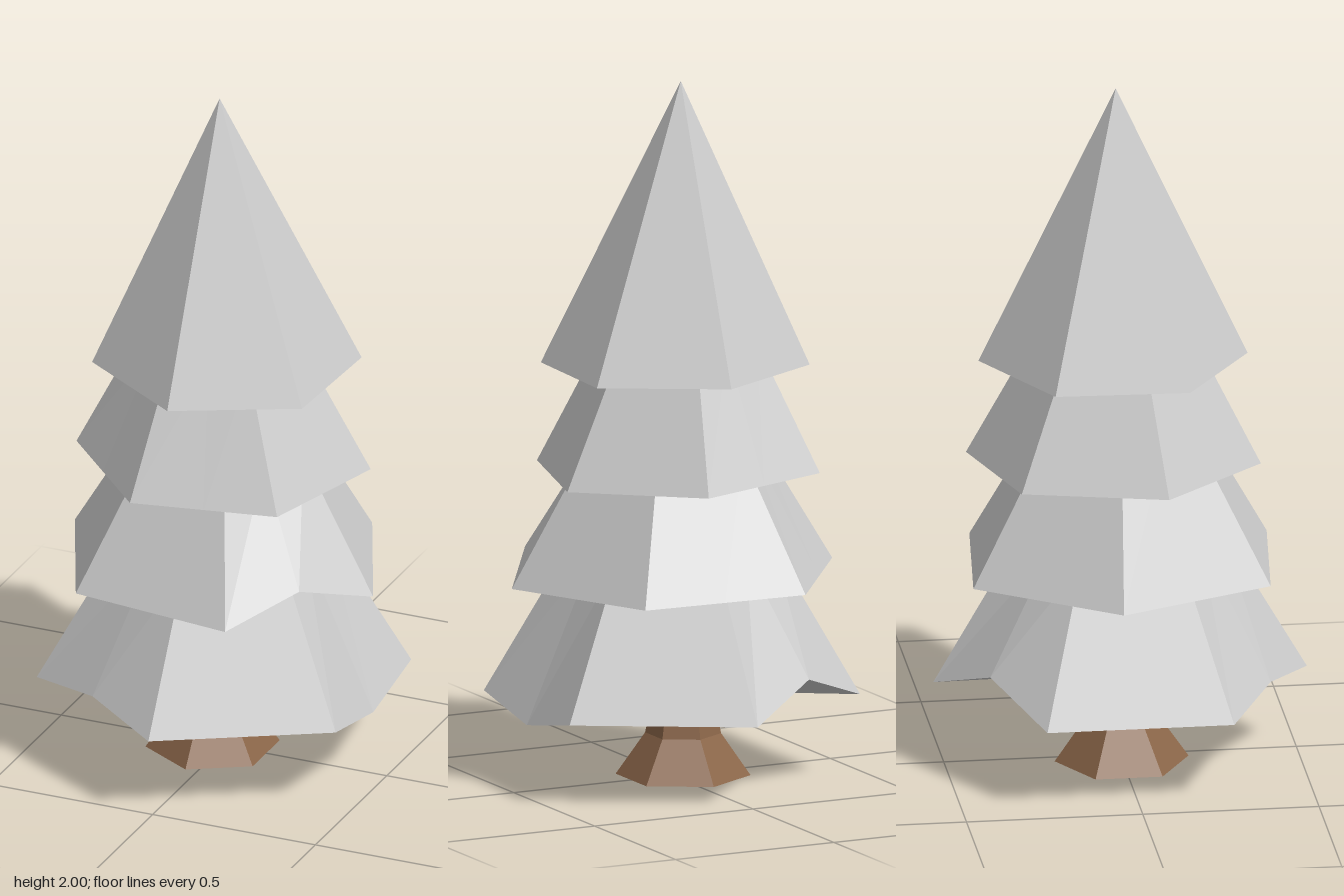
import * as THREE from 'three';

const SIDES = 6;

// Faceted hexagonal tier: lower ring of corners and edge midpoints, tapering to an upper ring or a point.
// angle: first corner in degrees (anticlockwise from +x seen from above); tilt: y change per unit x;
// bends: how far each lower edge's midpoint is raised or lowered.
function tierGeometry({ radius, angle, base, top, scale, center = [0, 0], tip = center, tilt = 0, bends = {} }) {
  const low = [], high = [];
  const corner = (i) => {
    const a = THREE.MathUtils.degToRad(angle + (i * 360) / SIDES);
    return new THREE.Vector3(radius * Math.cos(a), 0, -radius * Math.sin(a));
  };
  const place = (p, lift) => {
    low.push(new THREE.Vector3(p.x + center[0], base - tilt * p.x + lift, p.z + center[1]));
    high.push(new THREE.Vector3(p.x * scale + tip[0], top, p.z * scale + tip[1]));
  };
  for (let i = 0; i < SIDES; i++) {
    place(corner(i), 0);
    place(corner(i).lerp(corner(i + 1), 0.5), bends[i] ?? 0);
  }
  const under = new THREE.Vector3(center[0], base + 0.005, center[1]);
  const peak = new THREE.Vector3(tip[0], top, tip[1]);
  const points = [];
  for (let i = 0; i < low.length; i++) {
    const j = (i + 1) % low.length;
    points.push(under, low[j], low[i]);
    if (scale === 0) {
      points.push(low[i], low[j], peak);
    } else {
      points.push(low[i], low[j], high[j], low[i], high[j], high[i], peak, high[i], high[j]);
    }
  }
  const geometry = new THREE.BufferGeometry().setFromPoints(points);
  geometry.computeVertexNormals();
  return geometry;
}

export function createModel() {
  const tree = new THREE.Group();
  tree.name = 'pineTree';
  const foliage = new THREE.MeshStandardMaterial({ color: 0xcccccc, flatShading: true });
  const bark = new THREE.MeshStandardMaterial({ color: 0x8b6649, flatShading: true });

  // Foliage tiers, bottom to top
  const tiers = {
    bottomTier: { radius: 0.53, angle: -30, base: 0.24, top: 0.66, scale: 0.54, bends: { 0: -0.05, 2: 0.09, 4: 0.04 } },
    lowerMiddleTier: { radius: 0.483, angle: -66, base: 0.582, top: 0.96, scale: 0.53, tilt: 0.016, bends: { 0: 0.07 } },
    upperMiddleTier: { radius: 0.419, angle: 14.7, base: 0.892, top: 1.26, scale: 0.54, center: [-0.01, -0.02], tip: [-0.02, -0.015], tilt: 0.033 },
    topTier: { radius: 0.38, angle: 27.5, base: 1.19, top: 2, scale: 0, center: [0, -0.02], tip: [-0.02, -0.015], tilt: 0.014 },
  };
  for (const [name, spec] of Object.entries(tiers)) {
    const tier = new THREE.Mesh(tierGeometry(spec), foliage);
    tier.name = name;
    tree.add(tier);
  }

  // Flared trunk with corners facing front and back
  const profile = [[0, 0], [0.19, 0], [0.107, 0.12], [0.078, 0.26], [0.07, 0.4], [0, 0.4]];
  const trunk = new THREE.Mesh(
    new THREE.LatheGeometry(profile.map(([r, y]) => new THREE.Vector2(r, y)), SIDES),
    bark
  );
  trunk.name = 'trunk';
  trunk.position.x = -0.035;
  tree.add(trunk);

  return tree;
}
